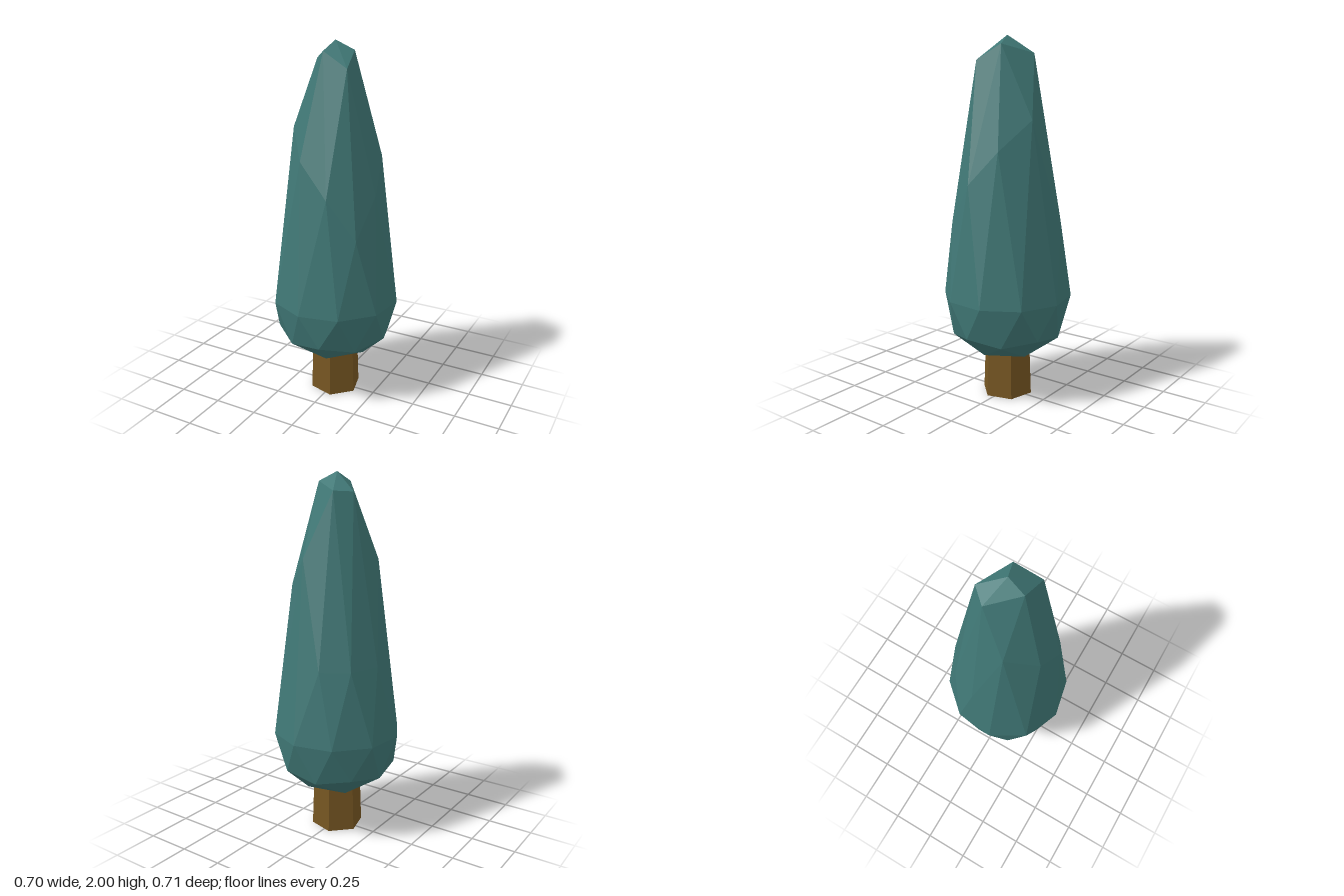
import * as THREE from 'three';

// Point at an angle (degrees, from +x towards +z) around the trunk axis
function polar(deg, r, y) {
  const a = THREE.MathUtils.degToRad(deg);
  return [r * Math.cos(a), y, r * Math.sin(a)];
}

// Faceted crown: a stretched icosphere built ring by ring in five sectors
function crownGeometry() {
  const top = [0, 2, 0];
  const pole = [0, 0.24, 0];
  // Irregular upper rings: tip ring, shoulder corners and the points between them
  const tip = [[0.125, 1.87, 0.112], [-0.02, 1.95, 0.096], [-0.137, 1.9, -0.051], [-0.064, 1.905, -0.13], [0.096, 1.95, -0.03]];
  const corner = [[0.23, 1.0, 0.205], [-0.083, 1.4, 0.235], [-0.297, 1.0, -0.055], [-0.085, 0.99, -0.292], [0.226, 1.4, -0.105]];
  const between = [[0.086, 1.22, 0.264], [-0.204, 1.55, 0.09], [-0.228, 0.99, -0.205], [0.07, 1.56, -0.212], [0.27, 1.22, 0.06]];

  const positions = [];
  const face = (...points) => points.forEach((p) => positions.push(...p));
  const next = (k) => (k + 1) % 5;
  const equator = (i) => polar(24 + 36 * i, 0.358, 0.58);
  const lowCorner = (k) => polar(78 + 72 * k, 0.325, 0.39);
  const lowBetween = (k) => polar(42 + 72 * k, 0.308, 0.36);
  const base = (k) => polar(78 + 72 * k, 0.19, 0.262);

  for (let k = 0; k < 5; k++) {
    const T = tip[k], T1 = tip[next(k)];
    const U = corner[k], U1 = corner[next(k)], M = between[k];
    const E0 = equator(2 * k), E1 = equator(2 * k + 1), E2 = equator(2 * k + 2);
    const L = lowCorner(k), N = lowBetween(k), N1 = lowBetween(k + 1);
    const B = base(k), B1 = base(k + 1);
    // Tip and shoulders
    face(top, T1, T);
    face(T, T1, M);
    face(T, M, U);
    face(T1, U1, M);
    // Long sides down to the widest ring
    face(U, E1, E0);
    face(U, M, E1);
    face(M, E2, E1);
    face(M, U1, E2);
    // Rounded underside
    face(E0, E1, N);
    face(E1, E2, L);
    face(E1, L, N);
    face(E2, N1, L);
    face(N, L, B);
    face(L, N1, B);
    face(N1, B1, B);
    face(B, B1, pole);
  }
  const geometry = new THREE.BufferGeometry();
  geometry.setAttribute('position', new THREE.Float32BufferAttribute(positions, 3));
  geometry.computeVertexNormals();
  return geometry;
}

export function createModel() {
  const foliage = new THREE.MeshStandardMaterial({ color: 0x407876 });
  foliage.name = 'foliage teal';
  foliage.flatShading = true;
  const bark = new THREE.MeshStandardMaterial({ color: 0x765622 });
  bark.name = 'bark brown';
  bark.flatShading = true;

  const group = new THREE.Group();
  group.name = 'tree';

  const crown = new THREE.Mesh(crownGeometry(), foliage);
  crown.name = 'crown';
  group.add(crown);

  // Six-sided, slightly tapered trunk reaching into the crown
  const height = 0.27;
  const trunk = new THREE.Mesh(
    new THREE.CylinderGeometry(0.135, 0.145, height, 6, 1, false, THREE.MathUtils.degToRad(15)),
    bark
  );
  trunk.name = 'trunk';
  trunk.position.y = height / 2;
  group.add(trunk);

  return group;
}
